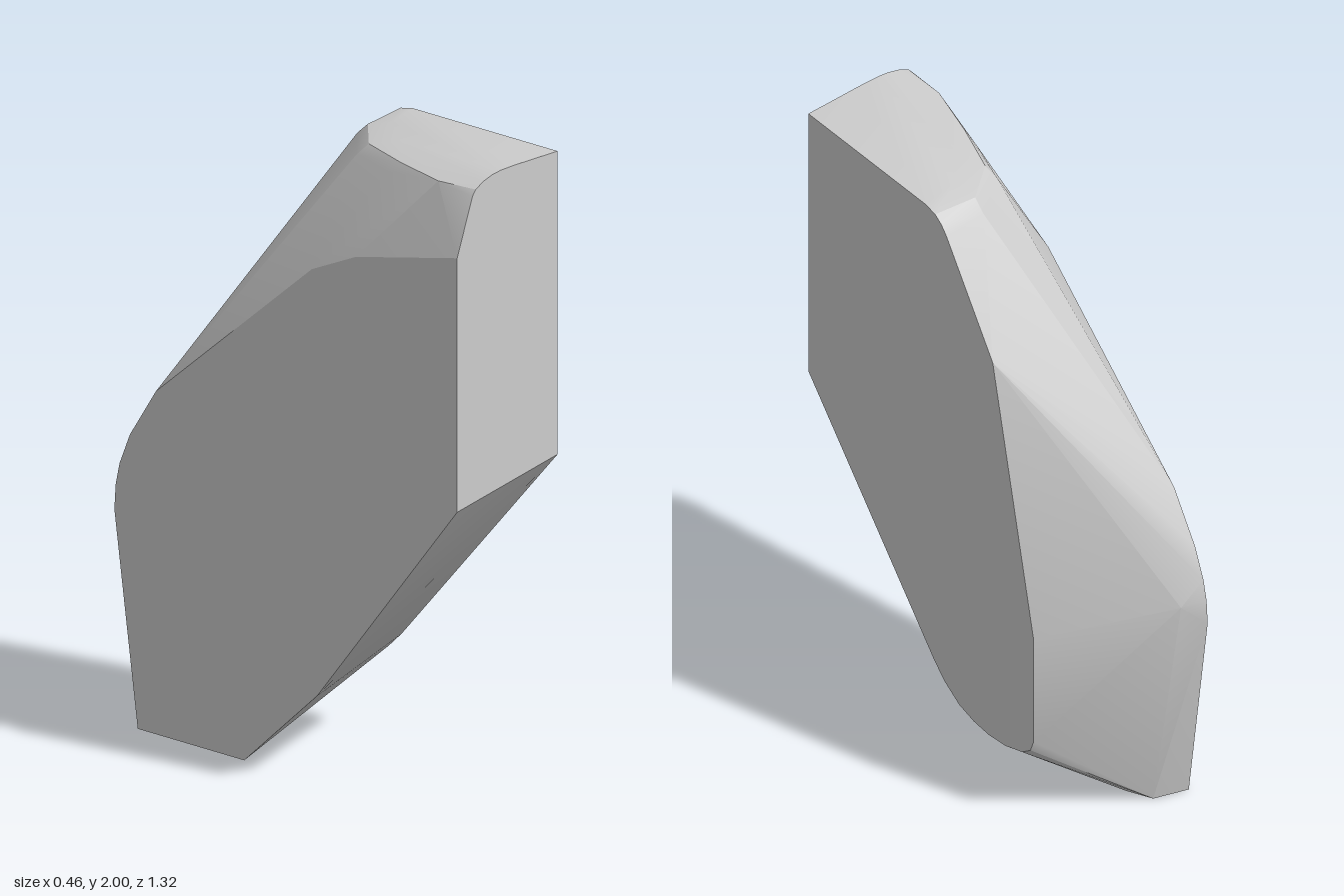
import * as THREE from 'three';
import { ConvexGeometry } from 'three/addons/geometries/ConvexGeometry.js';
import { toCreasedNormals } from 'three/addons/utils/BufferGeometryUtils.js';

const HALF_WIDTH = 0.23;
const FRONT = 0.66;

export function createModel() {
  const group = new THREE.Group();
  group.name = 'facetedBlock';
  const grey = new THREE.MeshStandardMaterial({ color: 0xcccccc });
  grey.name = 'light grey';

  // Flat side at +x, as [z, y]
  const leftOutline = [
    [0.66, 1.985], [0.66, 1.03], [0.06, 0.32], [0.01, 0.27], [-0.06, 0.225],
    [-0.13, 0.205], [-0.2, 0.198], [-0.28, 0.205], [-0.36, 0.23], [-0.4, 0.26],
    [-0.415, 0.3], [-0.415, 0.68], [-0.22, 1.59], [0, 1.925], [0.025, 1.955],
    [0.055, 1.975], [0.1, 1.985],
  ];
  // Flat side at -x, as [z, y]
  const rightOutline = [
    [0.66, 1.78], [0.66, 0.98], [0.12, 0.27], [-0.16, 0], [-0.57, 0],
    [-0.66, 0.67], [-0.655, 0.75], [-0.64, 0.82], [-0.6, 0.92], [-0.5, 1.08],
    [0.1, 1.61], [0.27, 1.69],
  ];
  // Flat front end, as [x, y]
  const frontOutline = [
    [-0.16, 1.955], [-0.145, 1.972], [-0.11, 1.988], [-0.07, 1.997],
    [-0.03, 2], [0.03, 1.998],
  ];
  // Rounded edge of the flat foot, as [x, z]
  const footEdge = [
    [-0.17, -0.2], [-0.12, -0.26], [-0.085, -0.33], [-0.07, -0.4],
    [-0.08, -0.46], [-0.12, -0.54],
  ];
  // Rounded rim of the top and the corner of the back, as [x, y, z]
  const rim = [
    [-0.03, 1.985, 0.4], [0, 1.985, 0.25], [0.1, 1.985, 0.13],
    [-0.15, 1.967, 0.52], [-0.1, 1.965, 0.335], [-0.04, 1.965, 0.16], [0.08, 1.967, 0.055],
    [-0.11, 1.93, 0.29], [-0.06, 1.93, 0.13], [0.08, 1.93, 0.015],
    [-0.15, 0.75, -0.635],
  ];

  const points = [
    ...leftOutline.map(([z, y]) => [HALF_WIDTH, y, z]),
    ...rightOutline.map(([z, y]) => [-HALF_WIDTH, y, z]),
    ...frontOutline.map(([x, y]) => [x, y, FRONT]),
    ...footEdge.map(([x, z]) => [x, 0, z]),
    ...rim,
  ].map((p) => new THREE.Vector3(...p));

  // Shell stretched over the outlines
  const block = new THREE.Mesh(toCreasedNormals(new ConvexGeometry(points), 0.35), grey);
  block.name = 'block';
  group.add(block);
  return group;
}
